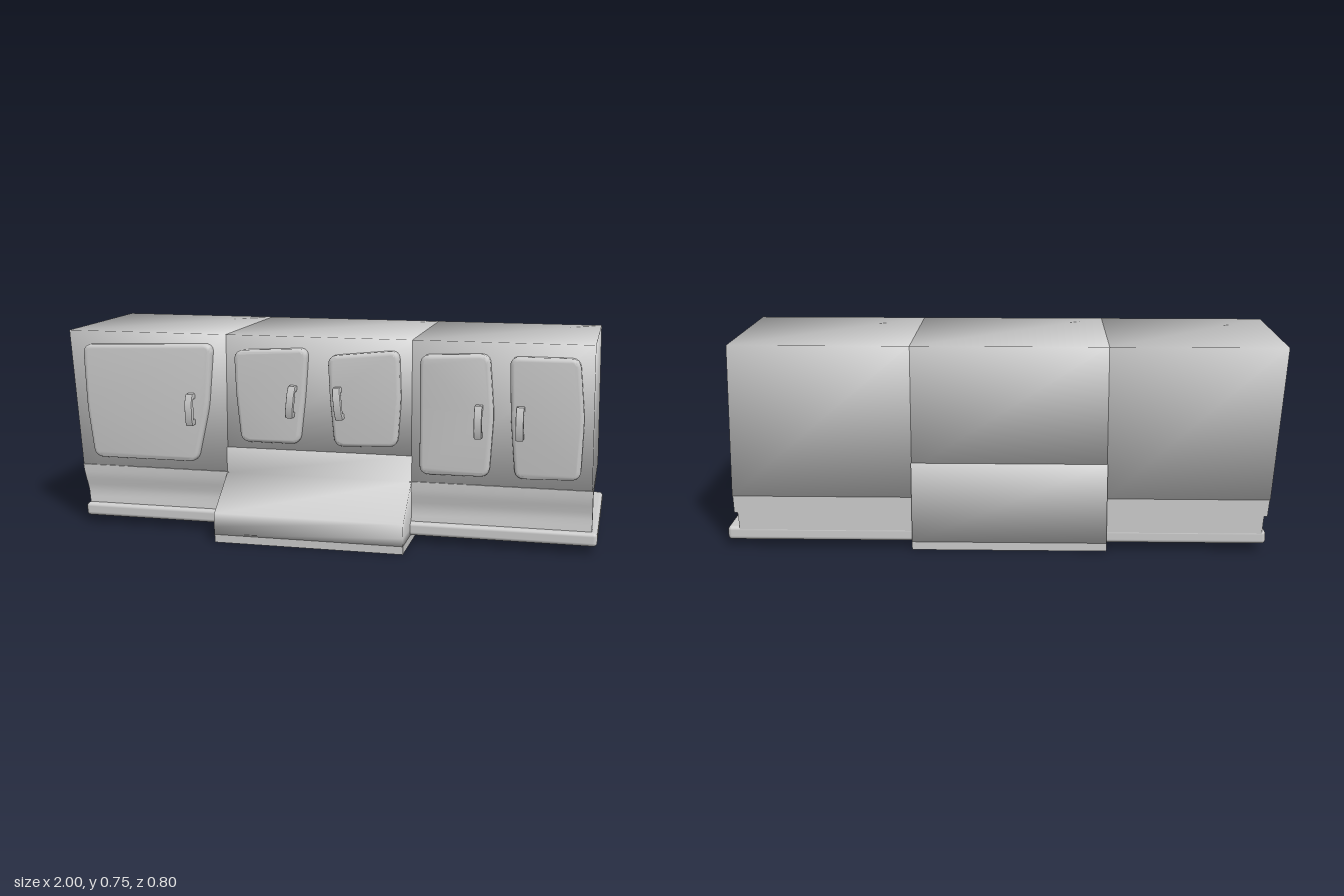
import * as THREE from 'three';
import { mergeVertices, toCreasedNormals } from 'three/addons/utils/BufferGeometryUtils.js';
import { RoundedBoxGeometry } from 'three/addons/geometries/RoundedBoxGeometry.js';

const material = new THREE.MeshStandardMaterial({ color: 0xcccccc });
const BACK = -0.39;

// Shares every corner so the shading rolls softly over the edges
function smooth(geo) {
  geo.deleteAttribute('uv');
  geo.deleteAttribute('normal');
  const merged = mergeVertices(geo, 1e-4);
  merged.computeVertexNormals();
  return merged;
}

function reshape(geo, rule) {
  const p = geo.attributes.position, v = new THREE.Vector3();
  for (let i = 0; i < p.count; i++) {
    rule(v.fromBufferAttribute(p, i));
    p.setXYZ(i, v.x, v.y, v.z);
  }
  geo.computeVertexNormals();
  return geo;
}

function polygon(points) {
  return new THREE.Shape(points.map(([x, y]) => new THREE.Vector2(x, y)));
}

// Polygon whose corners are rounded off by distance r
function roundedPolygon(points, r) {
  const pts = points.map(([x, y]) => new THREE.Vector2(x, y));
  const shape = new THREE.Shape();
  pts.forEach((p, i) => {
    const prev = pts[(i + pts.length - 1) % pts.length], next = pts[(i + 1) % pts.length];
    const a = prev.clone().sub(p).setLength(r).add(p);
    const b = next.clone().sub(p).setLength(r).add(p);
    if (i === 0) shape.moveTo(a.x, a.y); else shape.lineTo(a.x, a.y);
    shape.quadraticCurveTo(p.x, p.y, b.x, b.y);
  });
  shape.closePath();
  return shape;
}

// Extrudes a [z, y] profile from x0 to x1
function extrudeX(profile, x0, x1, bevel = 0) {
  const geo = new THREE.ExtrudeGeometry(polygon(profile), {
    depth: x1 - x0 - 2 * bevel, bevelEnabled: bevel > 0, bevelSize: bevel,
    bevelThickness: bevel, bevelOffset: -bevel, bevelSegments: 2,
  });
  return geo.rotateY(-Math.PI / 2).translate(x1 - bevel, 0, 0);
}

function cabinetBox(x0, x1, y0, y1, x0Bottom = x0, x1Bottom = x1) {
  const geo = new THREE.BoxGeometry(1, 1, 1);
  reshape(geo, (v) => {
    const low = v.y < 0;
    v.x = v.x < 0 ? (low ? x0Bottom : x0) : (low ? x1Bottom : x1);
    v.y = low ? y0 : y1;
    v.z = v.z < 0 ? BACK : 0.23;
  });
  return smooth(geo);
}

function doorGeometry(points) {
  const geo = new THREE.ExtrudeGeometry(roundedPolygon(points, 0.035), {
    depth: 0.02, bevelSize: 0.014, bevelThickness: 0.012, bevelOffset: -0.014,
    bevelSegments: 3, curveSegments: 6,
  });
  geo.translate(0, 0, 0.222);
  // The door leans slightly forward towards its top
  reshape(geo, (v) => { if (v.z > 0.23) v.z += (v.y - 0.27) * 0.025; });
  return toCreasedNormals(geo, 0.7);
}

export function createModel() {
  const root = new THREE.Group();
  const add = (name, geo, parent = root) => {
    const mesh = new THREE.Mesh(geo, material);
    mesh.name = name;
    parent.add(mesh);
    return mesh;
  };

  // Cabinet bodies
  add('rightCabinet', cabinetBox(-1, -0.375, 0.197, 0.75, -0.96));
  add('centreCabinet', cabinetBox(-0.375, 0.325, 0.3, 0.75));
  add('leftCabinet', cabinetBox(0.325, 0.97, 0.197, 0.75, 0.325, 0.977));

  // Doors
  const doors = [
    [[-0.935, 0.7], [-0.422, 0.715], [-0.443, 0.475], [-0.49, 0.265], [-0.905, 0.265], [-0.928, 0.46]],
    [[-0.337, 0.695], [-0.057, 0.71], [-0.07, 0.53], [-0.09, 0.352], [-0.315, 0.352], [-0.332, 0.53]],
    [[0.018, 0.685], [0.28, 0.712], [0.287, 0.53], [0.275, 0.358], [0.042, 0.35], [0.025, 0.53]],
    [[0.357, 0.7], [0.605, 0.71], [0.623, 0.49], [0.61, 0.265], [0.358, 0.263], [0.358, 0.48]],
    [[0.676, 0.703], [0.92, 0.703], [0.94, 0.49], [0.933, 0.268], [0.703, 0.263], [0.684, 0.48]],
  ];
  doors.forEach((points, i) => add('door' + (i + 1), doorGeometry(points)));

  // C-shaped handles: x, centre height, tilt
  const grip = [[0.245, -0.06], [0.288, -0.06], [0.3, -0.03], [0.3, 0.03], [0.288, 0.06],
    [0.245, 0.06], [0.245, 0.038], [0.276, 0.038], [0.276, -0.038], [0.245, -0.038]];
  const handleGeo = toCreasedNormals(extrudeX(grip, -0.014, 0.014, 0.004), 0.7);
  const handles = [[-0.505, 0.47, 0], [-0.115, 0.515, -0.1], [0.062, 0.515, 0.1],
    [0.572, 0.47, 0], [0.719, 0.47, 0]];
  handles.forEach(([x, y, tilt], i) => {
    const handle = add('handle' + (i + 1), handleGeo);
    handle.position.set(x, y, 0);
    handle.rotation.z = tilt;
  });

  // Cornice under each side cabinet: stepped core, coved front and rounded lip
  const cove = [[0.185, 0.07], [0.23, 0.07], [0.226, 0.1], [0.222, 0.125], [0.225, 0.15],
    [0.231, 0.175], [0.235, 0.2], [0.235, 0.23], [0.185, 0.23]];
  const cornices = [
    { name: 'rightCornice', inner: -0.35, core: [-0.935, -0.94, -0.952, -0.958], front: [-0.962, -0.37], lip: [-0.95, -0.33] },
    { name: 'leftCornice', inner: 0.3, core: [0.955, 0.96, 0.972, 0.975], front: [0.32, 0.98], lip: [0.28, 1] },
  ];
  for (const { name, inner, core, front, lip } of cornices) {
    const group = new THREE.Group();
    group.name = name;
    root.add(group);
    const outline = [[inner, 0.07], [core[0], 0.07], [core[1], 0.135], [core[2], 0.135], [core[3], 0.197], [inner, 0.197]];
    const coreGeo = new THREE.ExtrudeGeometry(polygon(outline), { depth: 0.2 - BACK, bevelEnabled: false });
    add('corniceCore', coreGeo.translate(0, 0, BACK), group);
    const frontGeo = extrudeX(cove, front[0], front[1]);
    reshape(frontGeo, (v) => { if (v.x < -0.9) v.x += (0.23 - v.y) * 0.15; });
    add('corniceFront', toCreasedNormals(frontGeo, 0.6), group);
    const lipGeo = new RoundedBoxGeometry(lip[1] - lip[0], 0.05, 0.25 - BACK, 3, 0.014);
    lipGeo.translate((lip[0] + lip[1]) / 2, 0.055, (0.25 + BACK) / 2);
    add('corniceLip', lipGeo, group);
  }

  // Extractor hood with a sloping front
  const hoodProfile = [[-0.395, 0.03], [0.397, 0.03], [0.4, 0.06], [0.396, 0.11],
    [0.235, 0.227], [0.234, 0.325], [-0.395, 0.325]];
  add('hood', smooth(extrudeX(hoodProfile, -0.377, 0.327)));

  // Rim around the recessed underside of the hood
  const rim = polygon([[-0.377, -0.395], [0.327, -0.395], [0.327, 0.395], [-0.377, 0.395]]);
  rim.holes.push(polygon([[-0.317, -0.335], [-0.317, 0.335], [0.267, 0.335], [0.267, -0.335]]));
  const rimGeo = new THREE.ExtrudeGeometry(rim, { depth: 0.03, bevelEnabled: false });
  add('hoodRim', rimGeo.rotateX(Math.PI / 2).translate(0, 0.03, 0));

  return root;
}
